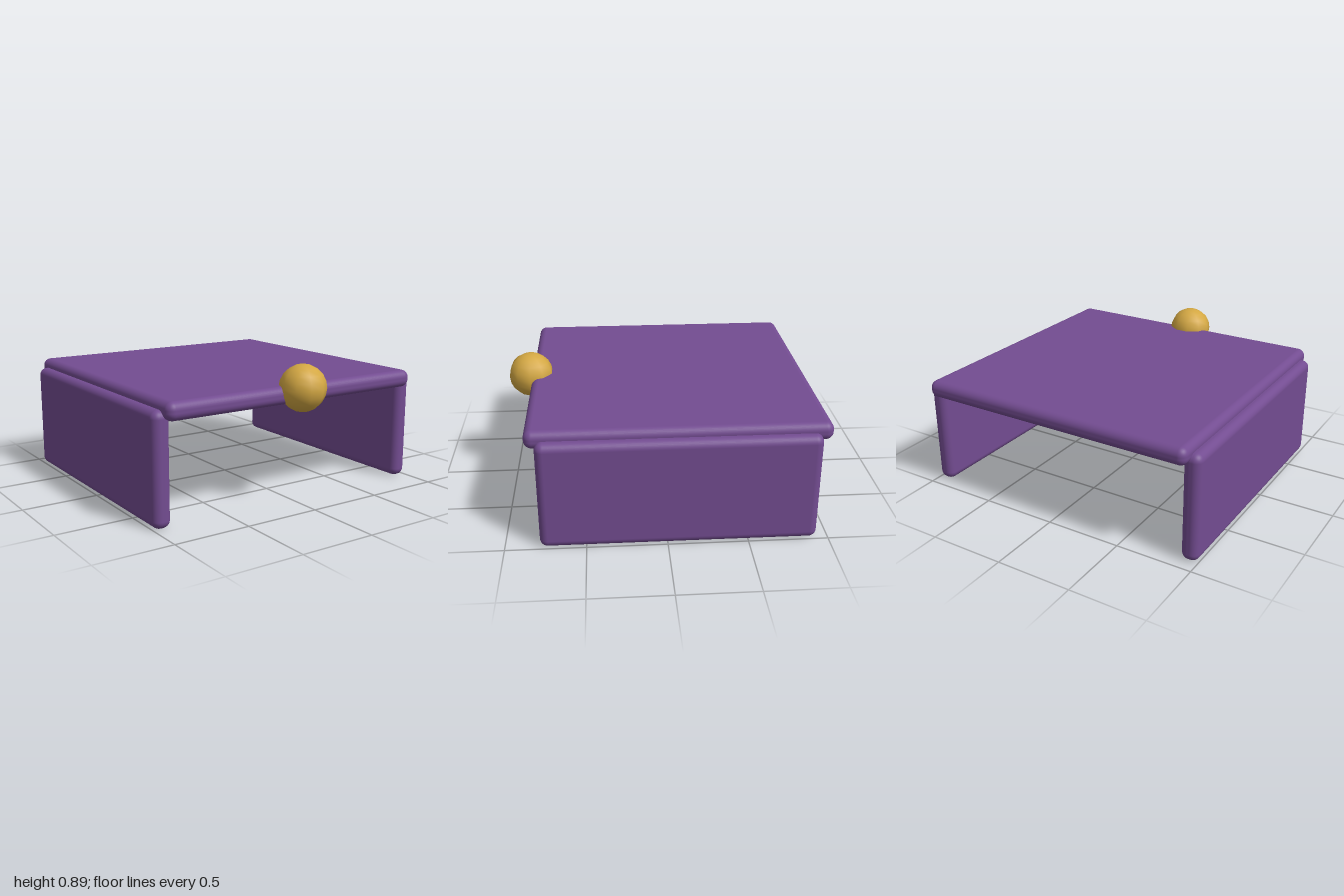
import * as THREE from 'three';
import { RoundedBoxGeometry } from 'three/addons/geometries/RoundedBoxGeometry.js';

export function createModel() {
  const model = new THREE.Group();
  const purple = new THREE.MeshStandardMaterial({ color: 0x734c91 });
  const gold = new THREE.MeshStandardMaterial({ color: 0xd4a843 });

  const add = (name, geometry, material, x, y, z) => {
    const mesh = new THREE.Mesh(geometry, material);
    mesh.name = name;
    mesh.position.set(x, y, z);
    model.add(mesh);
  };
  const panel = (w, h, d) => new RoundedBoxGeometry(w, h, d, 4, 0.05);

  // Flat top slab, overhanging the sides at the front and back
  add('topPanel', panel(1.88, 0.115, 1.85), purple, 0, 0.702, -0.075);

  // Upright side panels
  for (const [name, s] of [['leftPanel', 1], ['rightPanel', -1]]) {
    add(name, panel(0.115, 0.705, 1.715), purple, s * 0.9425, 0.3525, -0.072);
  }

  // Round knob on the front edge
  add('knob', new THREE.SphereGeometry(0.149, 10, 10), gold, 0, 0.744, 0.857);

  return model;
}
